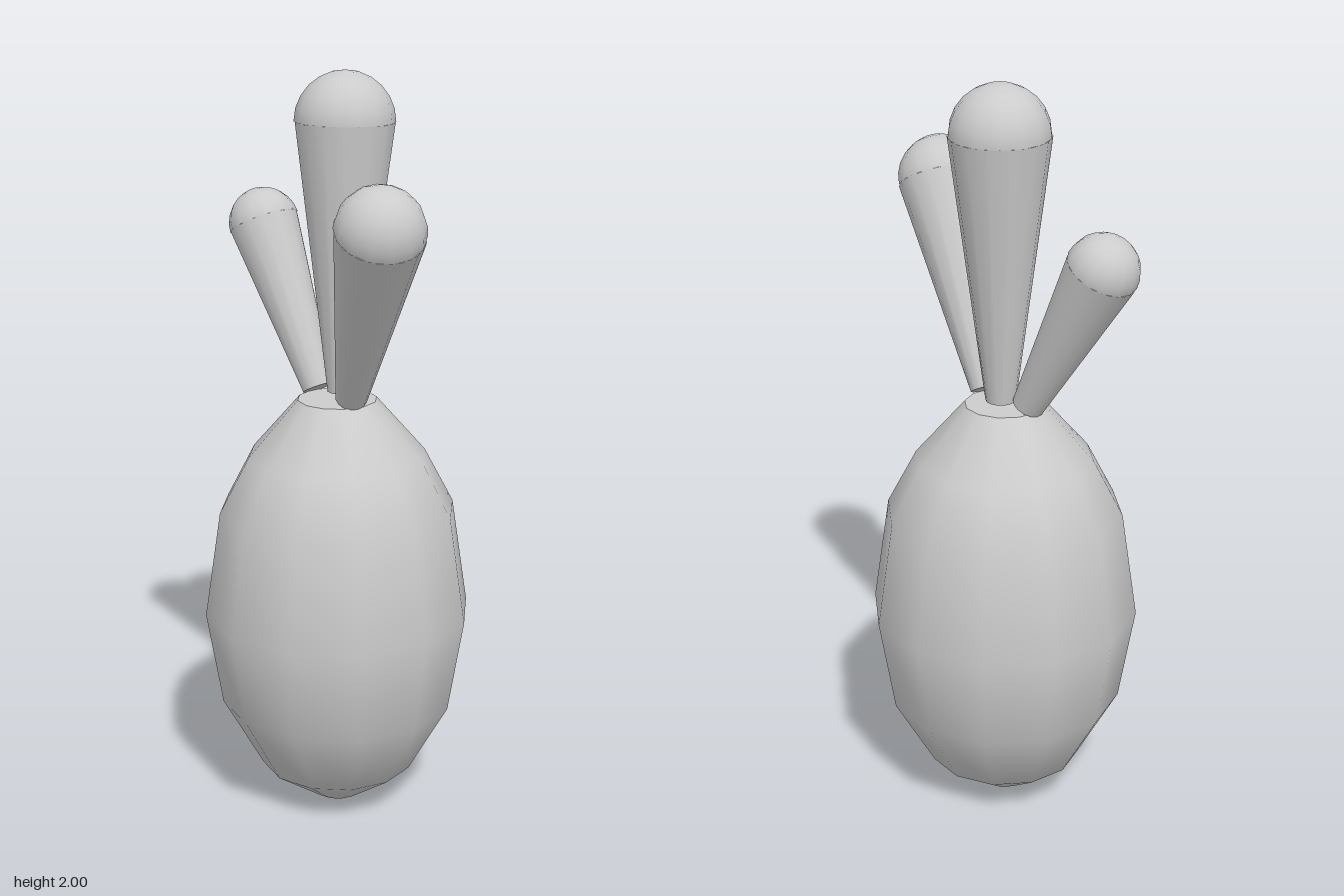
import * as THREE from 'three';

const material = new THREE.MeshStandardMaterial({ color: 0xcccccc });
const SIDES = 14;

function addMesh(parent, name, geometry) {
  const mesh = new THREE.Mesh(geometry, material);
  mesh.name = name;
  parent.add(mesh);
  return mesh;
}

// Tapered leaf with a rounded tip, running from its base to the tip centre
function createLeaf(name, base, tip, baseRadius, tipRadius) {
  const leaf = new THREE.Group();
  leaf.name = name;
  const start = new THREE.Vector3(...base);
  const axis = new THREE.Vector3(...tip).sub(start);
  const length = axis.length();

  const shaft = new THREE.CylinderGeometry(tipRadius, baseRadius, length, SIDES);
  addMesh(leaf, 'leafShaft', shaft.translate(0, length / 2, 0));

  const dome = new THREE.SphereGeometry(tipRadius, SIDES, 6, 0, Math.PI * 2, 0, Math.PI / 2);
  addMesh(leaf, 'leafTip', dome.translate(0, length, 0));

  leaf.position.copy(start);
  leaf.quaternion.setFromUnitVectors(new THREE.Vector3(0, 1, 0), axis.normalize());
  return leaf;
}

export function createModel() {
  const model = new THREE.Group();
  model.name = 'rootVegetable';

  // Twelve-sided egg-shaped body: radius, height
  const profile = [
    [0, 0], [0.063, 0.006], [0.207, 0.105], [0.317, 0.3], [0.36, 0.557],
    [0.317, 0.845], [0.238, 0.995], [0.106, 1.147],
  ].map(([r, y]) => new THREE.Vector2(r, y));
  const body = addMesh(model, 'body', new THREE.LatheGeometry(profile, 12));
  body.position.x = -0.027;

  // Flat top of the body
  const cap = new THREE.CircleGeometry(0.106, 12).rotateX(-Math.PI / 2);
  addMesh(model, 'bodyTop', cap).position.set(-0.027, 1.147, 0);

  // Three leaves fanning out of the top
  model.add(
    createLeaf('middleLeaf', [-0.03, 1.163, -0.02], [-0.042, 1.869, -0.039], 0.04, 0.131),
    createLeaf('rightLeaf', [-0.105, 1.16, 0], [-0.332, 1.572, 0], 0.043, 0.095),
    createLeaf('leftLeaf', [0.045, 1.165, 0.013], [0.312, 1.662, 0.15], 0.042, 0.115),
  );
  return model;
}
